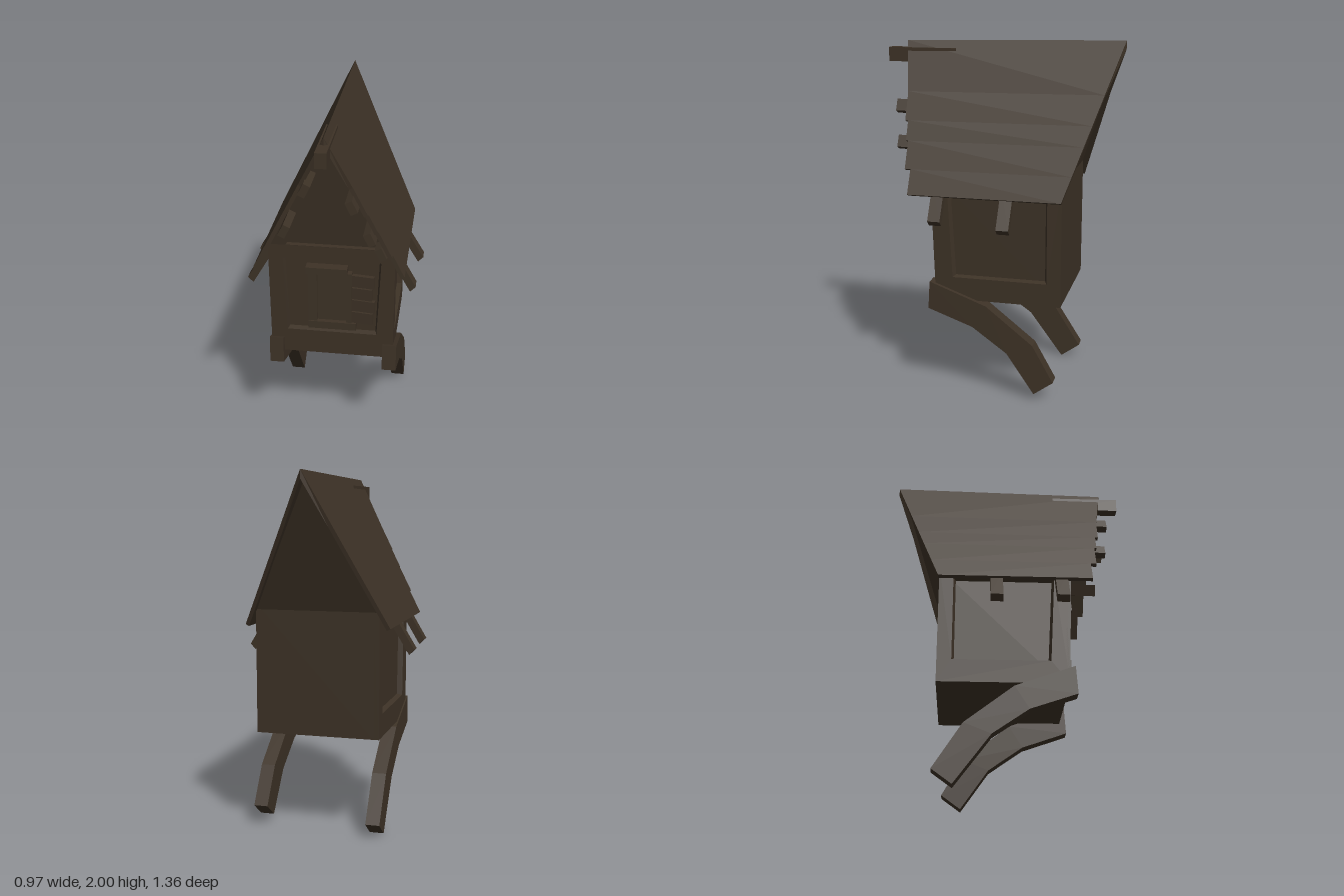
import * as THREE from 'three';

const wood = new THREE.MeshStandardMaterial({ color: 0x3d3226 });
wood.name = 'dark wood';
wood.flatShading = true;

// Solid lofted through matching cross-sections, capped at both ends
function loft(sections) {
  const n = sections[0].length, tris = [];
  const quad = (a, b, c, d) => tris.push([a, b, c], [a, c, d]);
  for (let s = 0; s < sections.length - 1; s++) {
    const A = sections[s], B = sections[s + 1];
    for (let i = 0; i < n; i++) {
      const j = (i + 1) % n;
      quad(A[i], A[j], B[j], B[i]);
    }
  }
  const first = sections[0], last = sections[sections.length - 1];
  for (let i = 1; i < n - 1; i++) {
    tris.push([first[0], first[i + 1], first[i]], [last[0], last[i], last[i + 1]]);
  }
  // Turn the faces outward whatever the corner order
  let volume = 0;
  const v = (p) => new THREE.Vector3(...p);
  for (const [a, b, c] of tris) volume += v(a).dot(v(b).cross(v(c)));
  if (volume < 0) tris.forEach((t) => t.reverse());
  const g = new THREE.BufferGeometry();
  g.setAttribute('position', new THREE.Float32BufferAttribute(tris.flat(2), 3));
  g.computeVertexNormals();
  return g;
}

function part(parent, name, geometry) {
  const m = new THREE.Mesh(geometry, wood);
  m.name = name;
  parent.add(m);
  return m;
}

function box(parent, name, w, h, d, x, y, z, rz = 0) {
  const m = part(parent, name, new THREE.BoxGeometry(w, h, d));
  m.position.set(x, y, z);
  m.rotation.z = rz;
  return m;
}

// Mitred frame: outer ring, inner ring and a bevelled inner ring behind
function frame(parent, name, outer, inner, innerBack, depth) {
  const back = (p) => p.map((c, k) => c + depth[k]);
  outer.forEach((o, i) => {
    const j = (i + 1) % outer.length;
    part(parent, name, loft([
      [o, inner[i], innerBack[i] && back(innerBack[i]), back(o)],
      [outer[j], inner[j], back(innerBack[j]), back(outer[j])],
    ]));
  });
}

const frontZ = (y) => 0.32 + (y - 0.56) * 0.03;

function buildBody() {
  const g = new THREE.Group();
  g.name = 'body';
  const section = (y) => [
    [-0.32, y, -0.4], [0.32, y, -0.4], [0.32, y, frontZ(y) - 0.03], [-0.32, y, frontZ(y) - 0.03],
  ];
  part(g, 'walls', loft([section(0.56), section(1.26)]));

  // Front frame
  const f = (x, y) => [x, y, frontZ(y)];
  frame(g, 'frontFrame',
    [f(-0.35, 0.56), f(0.35, 0.56), f(0.35, 1.26), f(-0.35, 1.26)],
    [f(-0.255, 0.71), f(0.255, 0.71), f(0.275, 1.18), f(-0.27, 1.18)],
    [f(-0.245, 0.72), f(0.245, 0.72), f(0.262, 1.168), f(-0.258, 1.168)],
    [0, 0, -0.035]);

  // Side frames
  for (const s of [-1, 1]) {
    const p = (z, y) => [s * 0.35, y, z];
    frame(g, 'sideFrame',
      [p(-0.4, 0.56), p(frontZ(0.56), 0.56), p(frontZ(1.26), 1.26), p(-0.4, 1.26)],
      [p(-0.32, 0.69), p(0.22, 0.69), p(0.245, 1.19), p(-0.32, 1.19)],
      [p(-0.305, 0.7), p(0.205, 0.7), p(0.23, 1.18), p(-0.305, 1.18)],
      [-s * 0.035, 0, 0]);
  }

  // Attic between the leaning gables
  part(g, 'attic', loft([
    [[-0.35, 1.255, 0.31], [0.35, 1.255, 0.31], [0, 1.93, 0.41]],
    [[-0.35, 1.255, -0.4], [0.35, 1.255, -0.4], [0, 1.93, -0.64]],
  ]));
  const gz = (y) => 0.341 + (y - 1.26) * 0.15;
  const t = (x, y) => [x, y, gz(y)];
  frame(g, 'gableFrame',
    [t(-0.35, 1.25), t(0.35, 1.25), t(0, 1.93)],
    [t(-0.25, 1.262), t(0.25, 1.262), t(0, 1.78)],
    [t(-0.25, 1.262), t(0.25, 1.262), t(0, 1.78)],
    [0, 0, -0.035]);
  return g;
}

function buildWindow() {
  const g = new THREE.Group();
  g.name = 'frontWindow';
  box(g, 'pane', 0.2, 0.32, 0.03, 0.015, 0.945, 0.313);
  box(g, 'topBar', 0.23, 0.04, 0.07, -0.025, 1.12, 0.33);
  box(g, 'bottomBar', 0.27, 0.045, 0.06, 0.005, 0.77, 0.325);
  box(g, 'post', 0.05, 0.32, 0.055, -0.105, 0.945, 0.32);
  box(g, 'post', 0.03, 0.32, 0.055, 0.1, 0.945, 0.32);
  // Open shutter of short boards
  [0.125, 0.115, 0.13, 0.12].forEach((w, i) => {
    const b = box(g, 'shutterBoard', w, 0.07, 0.025, 0.115 + w / 2, 1.06 - i * 0.077, 0.338);
    b.rotation.y = -0.12;
  });
  g.rotation.x = 0.0;
  return g;
}

function buildRoof() {
  const g = new THREE.Group();
  g.name = 'roof';
  // Point on a slope: t runs from ridge to eave, d is depth below the surface
  const at = (s, t, z, d) => [
    s * Math.max(0, 0.41 * t - d * 0.9 * (t > 0 ? 1 : 0)),
    2 - 0.83 * t - 0.016 * (1 - t) * (z + 0.68) - d * (t > 0 ? 0.44 : 2.2), z,
  ];
  const backZ = (t) => -0.68 + 0.275 * t;
  // Boards with a stepped front edge: start, end, front z at each
  const boards = [
    [0, 0.34, 0.575, 0.532], [0.34, 0.53, 0.53, 0.525], [0.53, 0.66, 0.508, 0.505],
    [0.66, 0.84, 0.492, 0.49], [0.84, 1, 0.457, 0.457],
  ];
  for (const s of [-1, 1]) {
    for (const [t0, t1, z0, z1] of boards) {
      part(g, 'roofBoard', loft([
        [at(s, t0, z0, 0), at(s, t1, z1, 0), at(s, t1, z1, 0.022), at(s, t0, z0, 0.022)],
        [at(s, t0, backZ(t0), 0), at(s, t1, backZ(t1), 0),
          at(s, t1, backZ(t1), 0.022), at(s, t0, backZ(t0), 0.022)],
      ]));
    }
  }
  // Beam ends under the front overhang: x, y, front z
  box(g, 'ridgeBeam', 0.06, 0.08, 0.4, 0, 1.9, 0.48);
  const beams = [
    [-0.1, 1.7, 0.595], [-0.215, 1.45, 0.56], [0.14, 1.62, 0.595], [0.23, 1.43, 0.56], [0.28, 1.29, 0.45],
  ];
  for (const [x, y, z] of beams) {
    box(g, 'roofBeam', 0.04, 0.07, 0.3, x, y, z - 0.15, x < 0 ? -0.46 : 0.46);
  }
  // Struts under the eaves: side, z, reach
  for (const [s, z, x] of [[1, 0.29, 0.465], [1, -0.1, 0.485], [-1, 0.285, 0.475], [-1, -0.08, 0.485]]) {
    const y = 1.03 - (x - 0.465);
    const cut = (c) => [
      [s * (x - 0.03), y - 0.02, c], [s * x, y + 0.01, c], [s * 0.36, 1.225, c], [s * 0.33, 1.195, c],
    ];
    part(g, 'eaveStrut', loft([cut(z - 0.035), cut(z + 0.035)]));
  }
  return g;
}

// Curved legs sweeping back: top and bottom edge as z, y
function buildLeg(name, x, lean, lift) {
  const top = [[0.35, 0.66], [0.02, 0.54], [-0.25, 0.33], [-0.41, 0.08]];
  const low = [[0.36, 0.5], [0.1, 0.41], [-0.1, 0.27], [-0.3, 0]];
  return loft(top.map(([tz, ty], i) => {
    const [lz, ly] = low[i], k = i / 3, cx = x + lean * k;
    const up = lift * (i === 3 ? 1 : 0);
    return [
      [cx - 0.04, ty + up, tz + up], [cx + 0.04, ty + up, tz + up],
      [cx + 0.04, ly + up, lz + up], [cx - 0.04, ly + up, lz + up],
    ];
  }));
}

export function createModel() {
  const model = new THREE.Group();
  model.name = 'hut';
  model.add(buildBody(), buildWindow(), buildRoof());
  part(model, 'leftLeg', buildLeg('leftLeg', 0.332, 0.015, 0.04));
  part(model, 'rightLeg', buildLeg('rightLeg', -0.318, 0, 0));
  return model;
}
